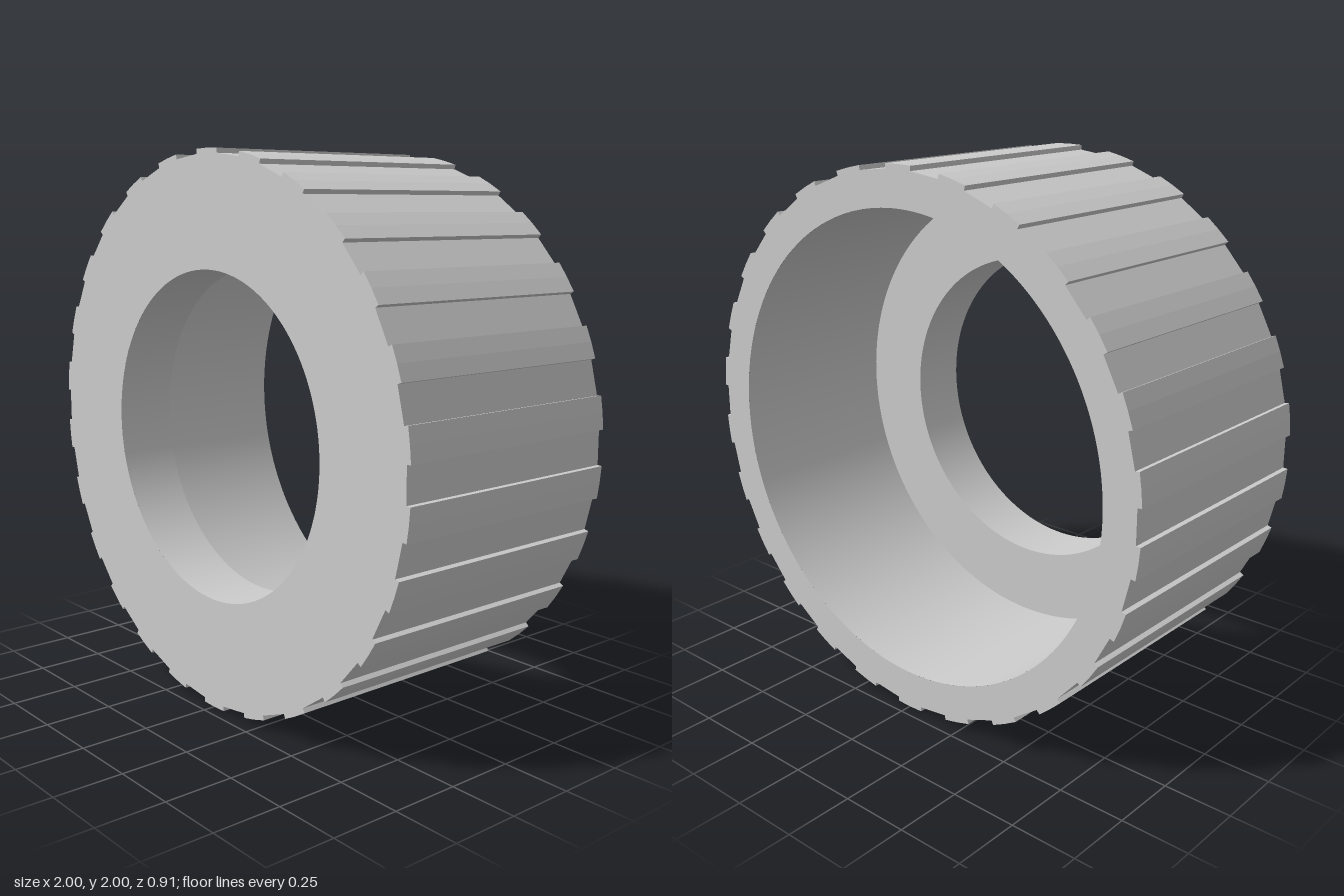
import * as THREE from 'three';

const TEETH = 26, R_TOOTH = 1, R_GROOVE = 0.983;
const R_HOLE = 0.59, R_BORE = 0.855;
const FRONT = 0.455, BACK = -0.455, STEP = 0.233;
const SEGMENTS = 128;

// Toothed outline, counter-clockwise, with one tooth at the very top
function outlinePoints() {
  const pts = [];
  const pitch = (Math.PI * 2) / TEETH, half = pitch * 0.24;
  const add = (r, a) => pts.push(new THREE.Vector2(r * Math.cos(a), r * Math.sin(a)));
  for (let i = 0; i < TEETH; i++) {
    const a = Math.PI / 2 + i * pitch;
    add(R_GROOVE, a - half);
    for (const t of [-1, 0, 1]) add(R_TOOTH, a + t * half);
    add(R_GROOVE, a + half);
  }
  return pts;
}

// Flat-shaded outer wall swept along z
function wallGeometry(pts) {
  const pos = [];
  pts.forEach((p, i) => {
    const q = pts[(i + 1) % pts.length];
    pos.push(p.x, p.y, BACK, q.x, q.y, BACK, q.x, q.y, FRONT);
    pos.push(p.x, p.y, BACK, q.x, q.y, FRONT, p.x, p.y, FRONT);
  });
  const geo = new THREE.BufferGeometry();
  geo.setAttribute('position', new THREE.Float32BufferAttribute(pos, 3));
  geo.computeVertexNormals();
  return geo;
}

// Toothed face with a round opening
function faceGeometry(pts, holeRadius) {
  const shape = new THREE.Shape(pts);
  shape.holes.push(new THREE.Path().absarc(0, 0, holeRadius, 0, Math.PI * 2, true));
  return new THREE.ShapeGeometry(shape, SEGMENTS);
}

// Surface of revolution around z between two (radius, z) points
function ringGeometry(r0, z0, r1, z1) {
  const profile = [new THREE.Vector2(r0, z0), new THREE.Vector2(r1, z1)];
  return new THREE.LatheGeometry(profile, SEGMENTS).rotateX(Math.PI / 2);
}

export function createModel() {
  const group = new THREE.Group();
  group.name = 'toothedRing';
  const material = new THREE.MeshStandardMaterial({ color: 0xcccccc });
  const add = (name, geometry) => {
    const mesh = new THREE.Mesh(geometry, material);
    mesh.name = name;
    mesh.position.y = 1;
    group.add(mesh);
  };
  const pts = outlinePoints();

  // Outside: ribbed tread and the two end faces
  add('tread', wallGeometry(pts));
  add('frontFace', faceGeometry(pts, R_HOLE).translate(0, 0, FRONT));
  add('backRim', faceGeometry(pts, R_BORE).rotateY(Math.PI).translate(0, 0, BACK));

  // Inside: narrow front hole, step, wide rear bore
  add('frontHole', ringGeometry(R_HOLE, FRONT, R_HOLE, STEP));
  add('innerStep', ringGeometry(R_HOLE, STEP, R_BORE, STEP));
  add('rearBore', ringGeometry(R_BORE, STEP, R_BORE, BACK));
  return group;
}
